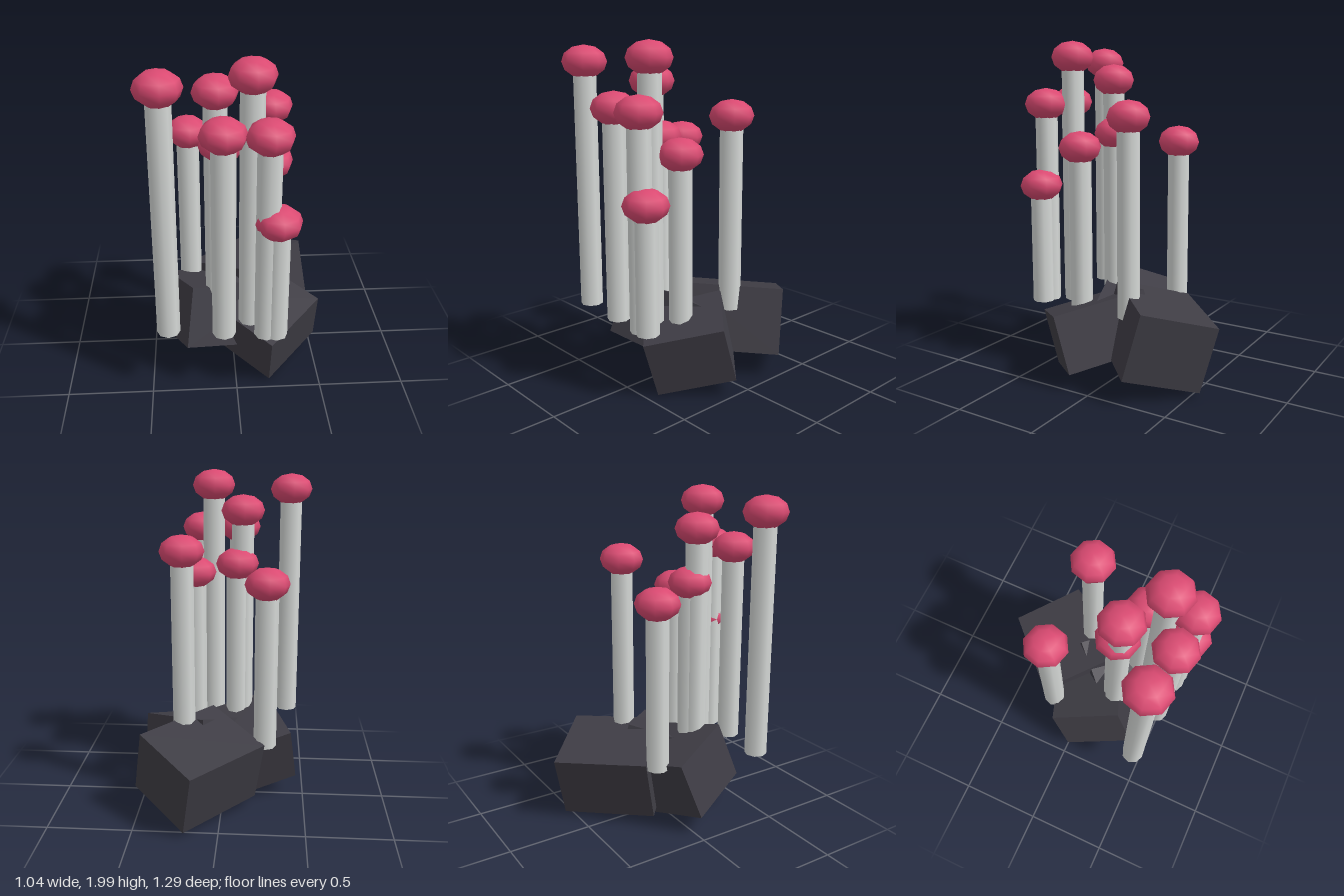
import * as THREE from 'three';

const material = (name, color) => {
  const m = new THREE.MeshStandardMaterial({ color });
  m.name = name;
  return m;
};

export function createModel() {
  const model = new THREE.Group();
  model.name = 'stalksOnRocks';
  const rockMat = material('darkStone', 0x3f3d45);
  const stalkMat = material('paleGrey', 0xd6d9d7);
  const capMat = material('rosePink', 0xdb4a72);

  // Tilted block: a top corner, two top edges (ordered so their cross points down), and depth
  function addRock(name, corner, edgeA, edgeB, depth) {
    const a = new THREE.Vector3(...edgeA), b = new THREE.Vector3(...edgeB);
    const x = a.clone().normalize();
    const z = a.clone().cross(b).normalize();
    const y = z.clone().cross(x);
    const rock = new THREE.Mesh(new THREE.BoxGeometry(a.length(), b.length(), depth), rockMat);
    rock.name = name;
    rock.quaternion.setFromRotationMatrix(new THREE.Matrix4().makeBasis(x, y, z));
    rock.position.set(...corner).addScaledVector(a, 0.5).addScaledVector(b, 0.5).addScaledVector(z, depth / 2);
    model.add(rock);
  }
  addRock('backRock', [0.14, 0.42, -0.645], [0.325, 0.12, 0.315], [-0.395, 0.035, 0.4], 0.393);
  addRock('rightRock', [-0.405, 0.475, -0.11], [0.495, -0.12, -0.175], [0.15, 0.12, 0.395], 0.367);
  addRock('leftRock', [0.2, 0.345, 0.535], [-0.4, 0.115, -0.362], [0.315, 0.1, -0.315], 0.346);

  // Stalks share one base height; each entry is x, z and the height of the cap's centre
  const base = 0.42;
  const stalks = [
    [-0.393, 0.457, 1.875],
    [-0.257, -0.168, 1.405],
    [0.232, -0.11, 1.575],
    [-0.072, 0.175, 1.455],
    [-0.103, 0.2, 1.77],
    [0.192, 0.248, 1.385],
    [0.084, 0.37, 1.905],
    [-0.074, 0.492, 1.635],
    [0.164, 0.512, 1.63],
    [0.22, 0.517, 1.145],
  ];
  const capGeo = new THREE.SphereGeometry(0.13, 8, 6).scale(1, 0.73, 1);
  stalks.forEach(([x, z, y], i) => {
    const plant = new THREE.Group();
    plant.name = `stalk${i + 1}`;
    plant.position.set(x, base, z);
    const height = y - base;
    const stem = new THREE.Mesh(new THREE.CylinderGeometry(0.067, 0.067, height, 8), stalkMat);
    stem.name = 'stem';
    stem.position.y = height / 2;
    const cap = new THREE.Mesh(capGeo, capMat);
    cap.name = 'cap';
    cap.position.y = height;
    cap.rotation.y = 0.12;
    plant.add(stem, cap);
    model.add(plant);
  });

  return model;
}
